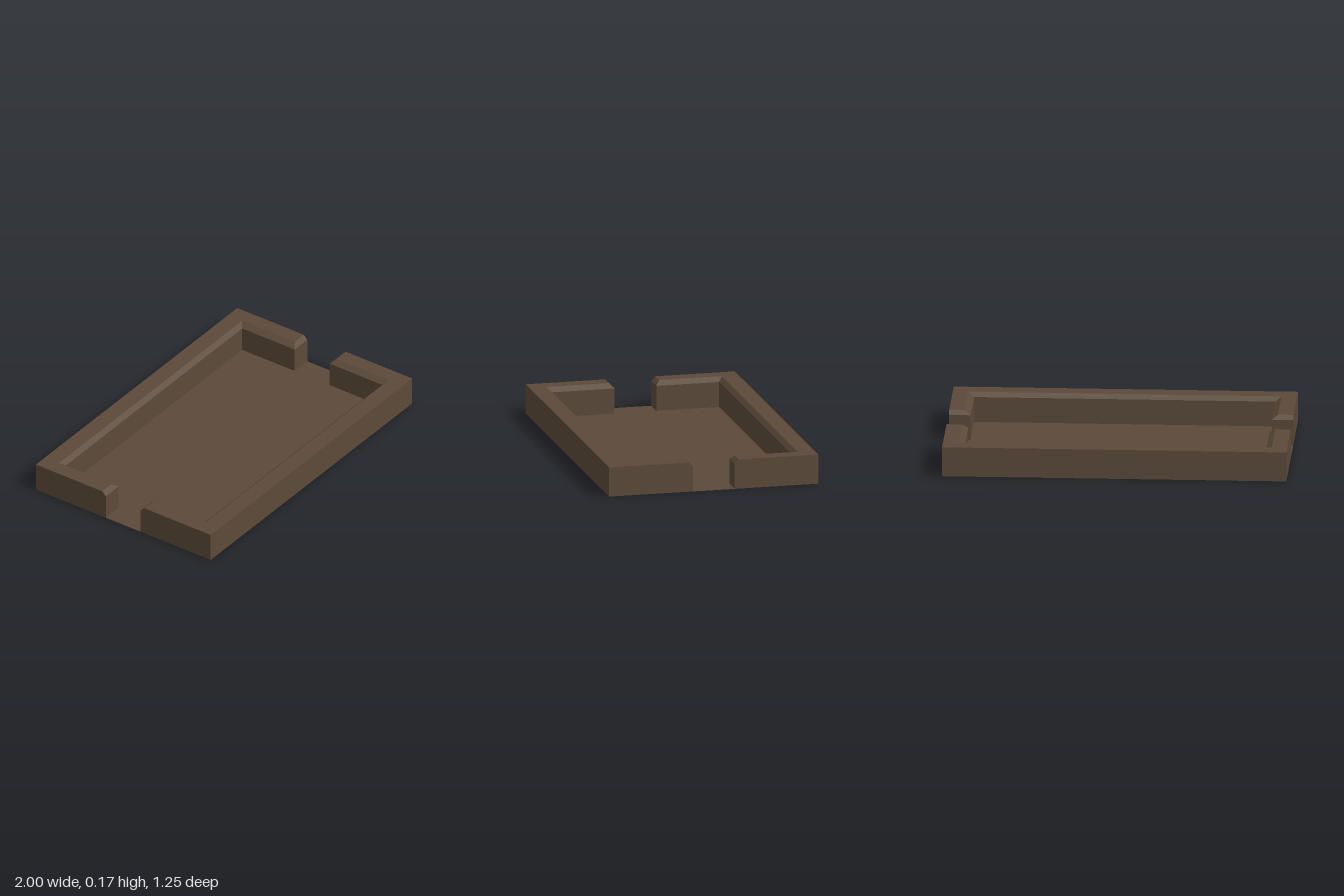
import * as THREE from 'three';

const HALF_X = 1, HALF_Z = 0.625, HEIGHT = 0.175, CHAMFER_Y = 0.15;

// U-shaped wall outline as [x, z], for given inner x, inner z and gap half-width
function outline(ix, iz, gap) {
  const half = [[HALF_X, HALF_Z], [HALF_X, gap], [ix, gap], [ix, iz]];
  const mirrored = half.map(([x, z]) => [-x, z]).reverse();
  return [...half, ...mirrored];
}

// Wall lofted through three outlines, with its chamfer on the inner edges and a flat top
function wallGeometry() {
  const lower = outline(0.875, 0.5, 0.125);
  const upper = outline(0.91, 0.525, 0.15);
  const levels = [[lower, 0], [lower, CHAMFER_Y], [upper, HEIGHT]];
  const pos = [];
  const put = ([x, z], y) => pos.push(x, y, z);

  for (let l = 0; l < 2; l++) {
    const [a, ya] = levels[l], [b, yb] = levels[l + 1];
    for (let i = 0; i < a.length; i++) {
      const j = (i + 1) % a.length;
      put(a[i], ya); put(a[j], ya); put(b[j], yb);
      put(a[i], ya); put(b[j], yb); put(b[i], yb);
    }
  }

  // Top cap
  const flat = upper.map(([x, z]) => new THREE.Vector2(x, z));
  for (const [a, b, c] of THREE.ShapeUtils.triangulateShape(flat, [])) {
    const p = flat[a], q = flat[b], r = flat[c];
    const turn = (q.x - p.x) * (r.y - p.y) - (q.y - p.y) * (r.x - p.x);
    for (const k of turn < 0 ? [a, b, c] : [a, c, b]) put(upper[k], HEIGHT);
  }

  const geo = new THREE.BufferGeometry();
  geo.setAttribute('position', new THREE.Float32BufferAttribute(pos, 3));
  geo.computeVertexNormals();
  return geo;
}

export function createModel() {
  const model = new THREE.Group();
  model.name = 'tray';
  const brown = new THREE.MeshStandardMaterial({ color: 0x5c4a3a, flatShading: true, side: THREE.DoubleSide });
  brown.name = 'brown';

  // Thin floor
  const floorGeo = new THREE.PlaneGeometry(2 * HALF_X, 2 * HALF_Z).rotateX(-Math.PI / 2);
  const floor = new THREE.Mesh(floorGeo, brown);
  floor.name = 'floor';
  model.add(floor);

  // Front and back walls, separated by the side gaps
  const geo = wallGeometry();
  for (const [name, turn] of [['frontWall', 0], ['backWall', Math.PI]]) {
    const wall = new THREE.Mesh(geo, brown);
    wall.name = name;
    wall.rotation.y = turn;
    model.add(wall);
  }
  return model;
}
